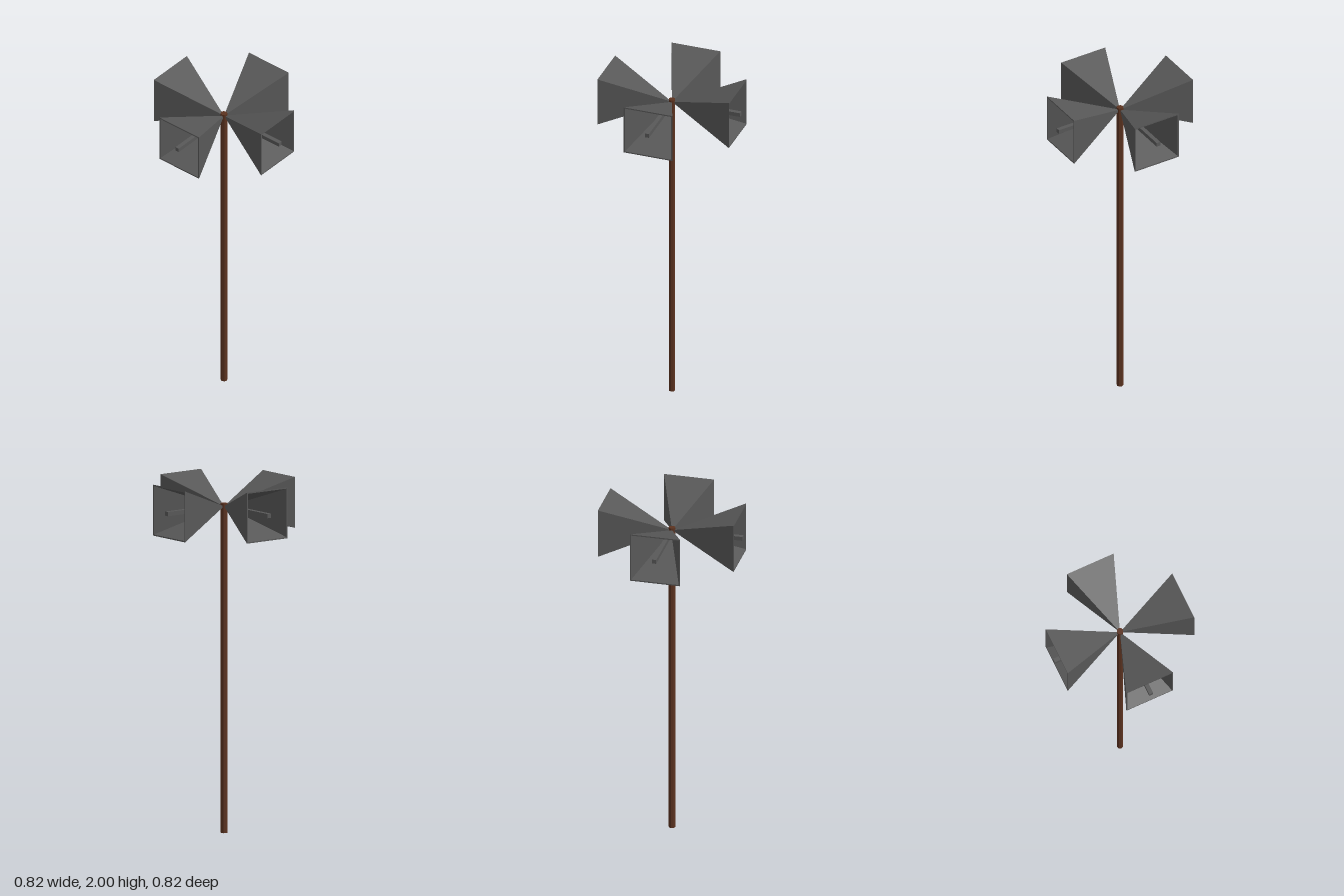
import * as THREE from 'three';

const POLE_TOP = 1.875, AXIS_Y = 1.857;
const MOUTH = 0.392, HALF = 0.145, WALL = 0.007;

// Square hollow horn: four-sided lathe, apex at the origin, mouth towards +z
function hornGeometry() {
  const d = Math.SQRT2;
  const profile = [
    [0, 0], [HALF * d, MOUTH], [(HALF - WALL) * d, MOUTH], [0, 0.02],
  ].map(([r, y]) => new THREE.Vector2(r, y));
  return new THREE.LatheGeometry(profile, 4, Math.PI / 4).rotateX(Math.PI / 2);
}

export function createModel() {
  const model = new THREE.Group();
  model.name = 'hornLoudspeakerPole';
  const brown = new THREE.MeshStandardMaterial({ color: 0x5c3320, flatShading: true });
  const grey = new THREE.MeshStandardMaterial({ color: 0x585858, flatShading: true });

  // Wooden pole
  const pole = new THREE.Mesh(new THREE.CylinderGeometry(0.019, 0.019, POLE_TOP, 8), brown);
  pole.name = 'pole';
  pole.position.y = POLE_TOP / 2;
  model.add(pole);

  // Four horns, each with a square rod along its axis
  const hornGeo = hornGeometry();
  const rodStart = 0.05, rodEnd = 0.41;
  const rodGeo = new THREE.BoxGeometry(0.024, 0.024, rodEnd - rodStart)
    .translate(0, 0, (rodStart + rodEnd) / 2);
  ['front', 'left', 'back', 'right'].forEach((side, i) => {
    const speaker = new THREE.Group();
    speaker.name = side + 'Speaker';
    const horn = new THREE.Mesh(hornGeo, grey);
    horn.name = 'horn';
    const rod = new THREE.Mesh(rodGeo, grey);
    rod.name = 'centreRod';
    speaker.add(horn, rod);
    speaker.position.y = AXIS_Y;
    speaker.rotation.y = i * Math.PI / 2;
    model.add(speaker);
  });
  return model;
}
